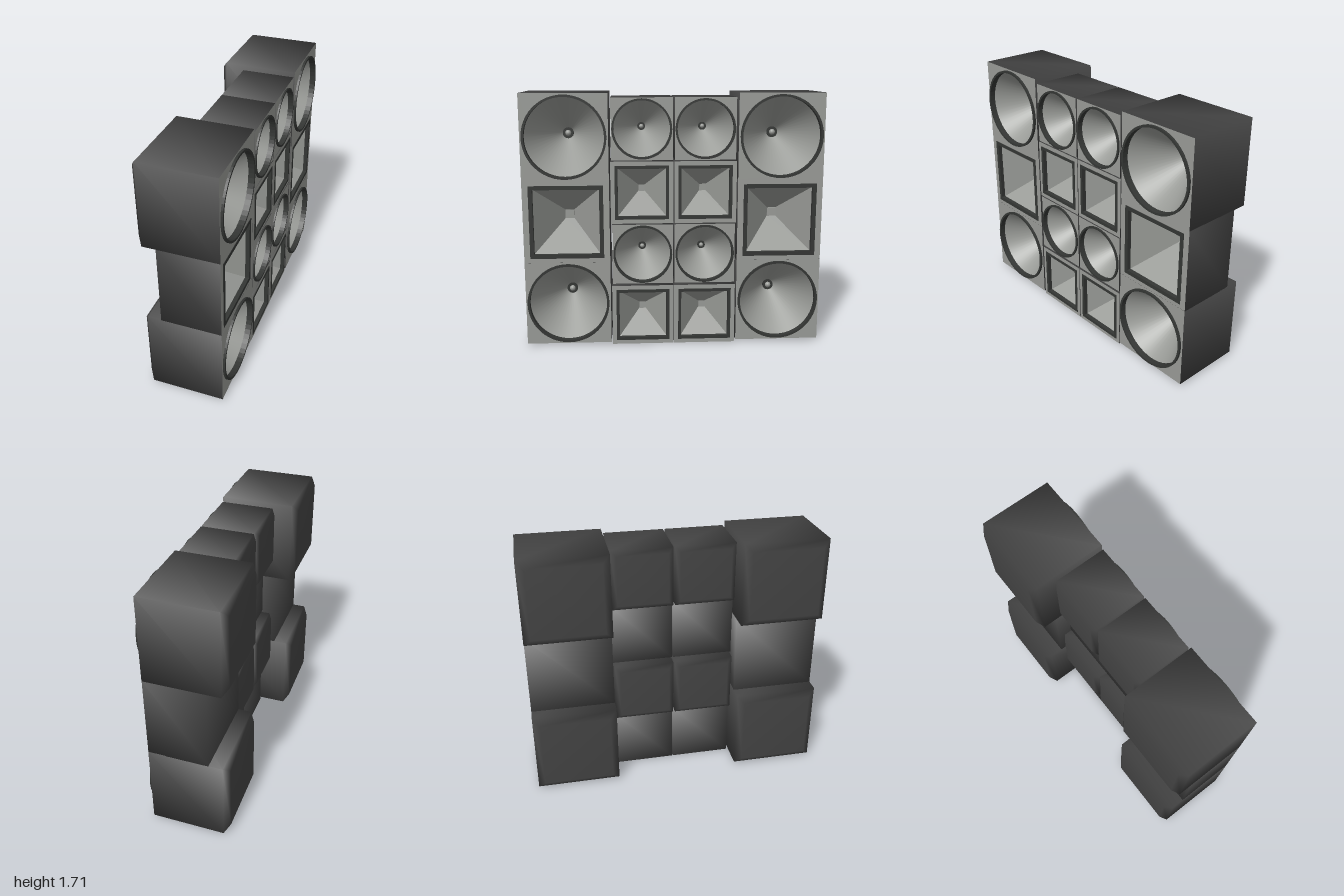
import * as THREE from 'three';

const mat = (name, color) => {
  const m = new THREE.MeshStandardMaterial({ color, side: THREE.DoubleSide });
  m.name = name;
  return m;
};

// Closed square shell lofted along z from [halfWidth, halfHeight, z] sections, back to front, softly shaded
function squareLoft(sections) {
  const pos = [], idx = [];
  for (const [w, h, z] of sections) pos.push(-w, -h, z, w, -h, z, w, h, z, -w, h, z);
  for (let s = 0; s < sections.length - 1; s++) {
    for (let i = 0; i < 4; i++) {
      const a = s * 4 + i, b = s * 4 + (i + 1) % 4;
      idx.push(a, b, b + 4, a, b + 4, a + 4);
    }
  }
  idx.push(0, 2, 1, 0, 3, 2);
  const g = new THREE.BufferGeometry();
  g.setAttribute('position', new THREE.Float32BufferAttribute(pos, 3));
  g.setIndex(idx);
  g.computeVertexNormals();
  return g;
}

// Square or round outline used for apertures and rims
function outline(round, r, path = new THREE.Path(), h = r) {
  if (round) path.absarc(0, 0, r, 0, Math.PI * 2);
  else path.moveTo(-r, -h).lineTo(r, -h).lineTo(r, h).lineTo(-r, h).lineTo(-r, -h);
  return path;
}

export function createModel() {
  const dark = mat('housing charcoal', 0x444444);
  const rimMat = mat('rim black', 0x343634);
  const light = mat('reflector grey', 0x999b97);
  const model = new THREE.Group();
  model.name = 'lampBank';

  // One lamp, built facing +z and turned to face +x
  function lamp(name, o, y, z) {
    const g = new THREE.Group();
    g.name = name;
    const add = (part, geo, m, dz = 0) => {
      const mesh = new THREE.Mesh(geo, m);
      mesh.name = part;
      mesh.position.z = dz;
      g.add(mesh);
    };
    const { round, w, h, back, front, bevel, rim, rimWidth, rimFront, depth, hub } = o;
    const segs = round ? 48 : 4;

    // Housing with a chamfered back
    const shell = bevel
      ? [[w - bevel, h - bevel, back], [w, h, back + bevel * 0.75], [w, h, front]]
      : [[w, h, back], [w, h, front]];
    add('housing', squareLoft(shell), dark);

    // Front plate with its aperture
    const plate = outline(false, w, new THREE.Shape(), h);
    plate.holes.push(outline(round, rim - rimWidth / 2));
    add('frontPlate', new THREE.ShapeGeometry(plate, 24), light, front);

    // Raised rim reaching into the aperture
    const ring = outline(round, rim, new THREE.Shape());
    ring.holes.push(outline(round, rim - rimWidth));
    const rimBack = front - 0.025;
    add('rim', new THREE.ExtrudeGeometry(ring, {
      depth: rimFront - rimBack, bevelEnabled: false, curveSegments: 24,
    }), rimMat, rimBack);

    // Conical or pyramidal reflector
    const k = round ? 1 : Math.SQRT2;
    let cone = new THREE.CylinderGeometry((rim - rimWidth) * k, hub * k, depth, segs, 1, true);
    cone.rotateY(Math.PI / 4).rotateX(Math.PI / 2);
    if (!round) {
      cone = cone.toNonIndexed();
      cone.computeVertexNormals();
    }
    add('reflector', cone, light, rimBack - depth / 2);

    // Bulb socket at the bottom of the reflector
    const end = rimBack - depth;
    if (round) {
      add('socket', new THREE.CylinderGeometry(hub, hub, 0.02, 24).rotateX(Math.PI / 2), rimMat, end);
      add('bulb', new THREE.SphereGeometry(hub * 0.55, 16, 10), light, end + 0.012);
    } else {
      add('bulb', new THREE.BoxGeometry(hub * 2, hub * 2, 0.02), light, end);
    }

    g.rotation.y = Math.PI / 2;
    g.position.set(0, y, z);
    model.add(g);
  }

  const bigRound = { round: true, w: 0.286, h: 0.285, back: -0.273, front: 0.255, bevel: 0.048,
    rim: 0.275, rimWidth: 0.015, rimFront: 0.27, depth: 0.33, hub: 0.038 };
  const bigSquare = { round: false, w: 0.286, h: 0.278, back: -0.146, front: 0.254, bevel: 0,
    rim: 0.246, rimWidth: 0.027, rimFront: 0.257, depth: 0.27, hub: 0.03 };
  const smallRound = { round: true, w: 0.203, h: 0.204, back: -0.131, front: 0.252, bevel: 0.033,
    rim: 0.198, rimWidth: 0.013, rimFront: 0.263, depth: 0.23, hub: 0.027 };
  const smallSquare = { round: false, w: 0.208, h: 0.208, back: -0.048, front: 0.252, bevel: 0,
    rim: 0.18, rimWidth: 0.02, rimFront: 0.256, depth: 0.19, hub: 0.022 };

  // Mirrored columns: three large lamps outside, four small ones inside
  for (const [side, s] of [['Left', 1], ['Right', -1]]) {
    const wing = side === 'Left' ? 'front' : 'rear';
    lamp(wing + 'LargeRoundLampTop', bigRound, 1.425, s * 0.714);
    lamp(wing + 'LargeSquareLamp', bigSquare, 0.862, s * 0.714);
    lamp(wing + 'LargeRoundLampBottom', bigRound, 0.302, s * 0.714);
    lamp(wing + 'SmallRoundLampTop', smallRound, 1.477, s * 0.209);
    lamp(wing + 'SmallSquareLampTop', smallSquare, 1.057, s * 0.211);
    lamp(wing + 'SmallRoundLampBottom', smallRound, 0.637, s * 0.209);
    lamp(wing + 'SmallSquareLampBottom', smallSquare, 0.209, s * 0.211);
  }
  return model;
}
